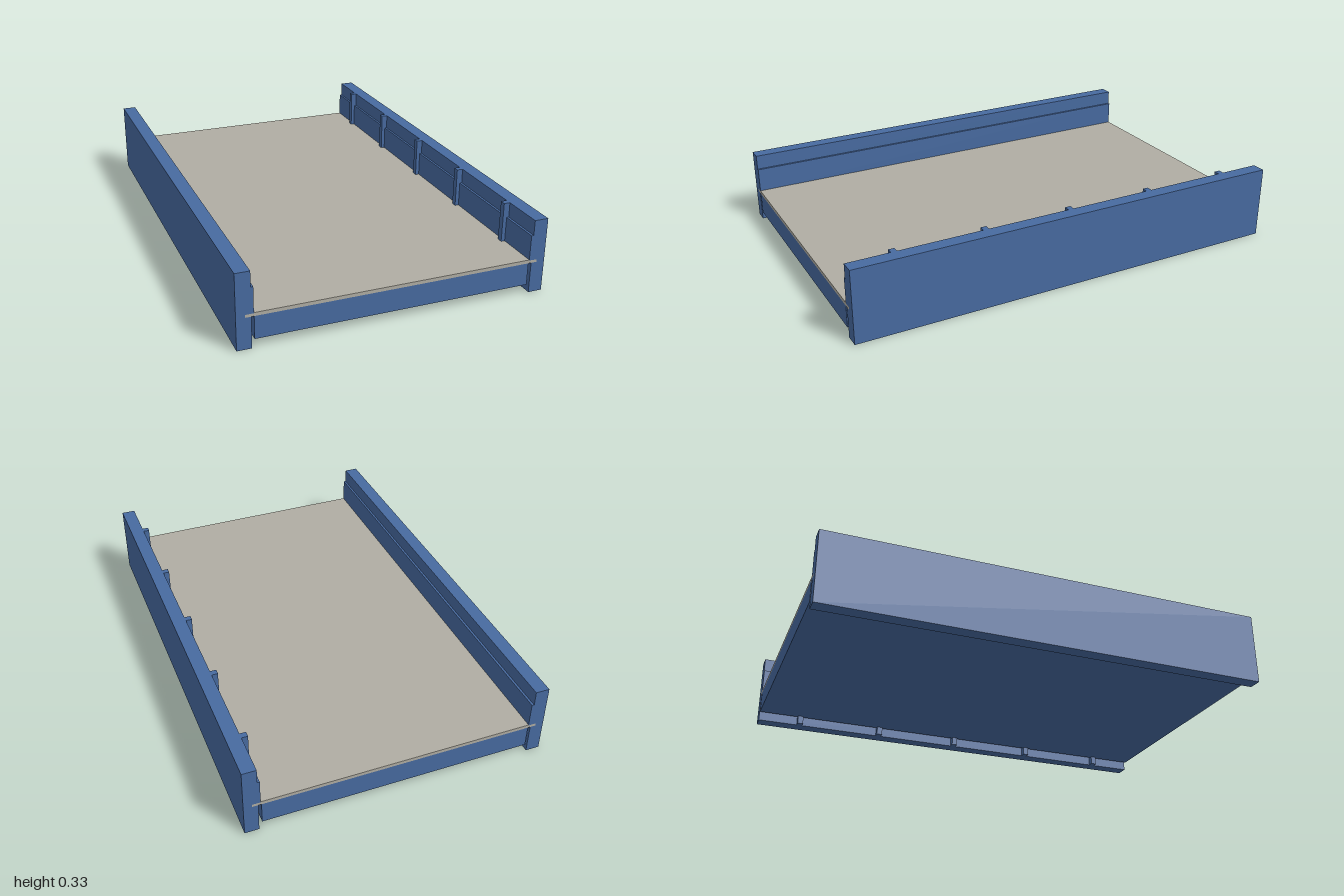
import * as THREE from 'three';

const blue = new THREE.MeshStandardMaterial({ color: 0x476aa0 });
blue.name = 'steel blue';
const beige = new THREE.MeshStandardMaterial({ color: 0xb0ada3 });
beige.name = 'deck beige';

const LENGTH = 2;

export function createModel() {
  const group = new THREE.Group();
  group.name = 'bridgeDeck';

  // Box given by its limits in x, y and z
  const box = (name, material, [x0, x1], [y0, y1], [z0, z1] = [-1, 1]) => {
    const mesh = new THREE.Mesh(new THREE.BoxGeometry(x1 - x0, y1 - y0, z1 - z0), material);
    mesh.position.set((x0 + x1) / 2, (y0 + y1) / 2, (z0 + z1) / 2);
    mesh.name = name;
    group.add(mesh);
  };

  // Side girders: upright beams slotted on the inside for the deck sheet
  const girder = (name, side) => {
    const points = [
      [0.6, 0], [0.661, 0], [0.661, 0.326], [0.6, 0.326],
      [0.6, 0.26], [0.59, 0.26], [0.59, 0.148], [0.625, 0.148],
      [0.625, 0.136], [0.6, 0.136],
    ].map(([x, y]) => new THREE.Vector2(side * x, y));
    const geometry = new THREE.ExtrudeGeometry(new THREE.Shape(points), {
      depth: LENGTH, bevelEnabled: false,
    });
    geometry.translate(0, 0, -LENGTH / 2);
    const mesh = new THREE.Mesh(geometry, blue);
    mesh.name = name;
    group.add(mesh);
  };
  girder('leftGirder', 1);
  girder('rightGirder', -1);

  // Deck: solid base, thin sheet reaching into the girders, walking surface
  box('deckBase', blue, [-0.589, 0.587], [0.038, 0.136]);
  box('deckSheet', beige, [-0.625, 0.625], [0.136, 0.148]);
  box('deckSurface', beige, [-0.59, 0.59], [0.148, 0.151]);

  // Upright ribs along the inside of the left girder
  for (let i = -2; i <= 2; i++) {
    const z = i * 0.4 - 0.003;
    box('ribLower', blue, [0.573, 0.601], [0, 0.136], [z - 0.013, z + 0.013]);
    box('ribUpper', blue, [0.573, 0.601], [0.148, 0.326], [z - 0.013, z + 0.013]);
  }
  return group;
}
